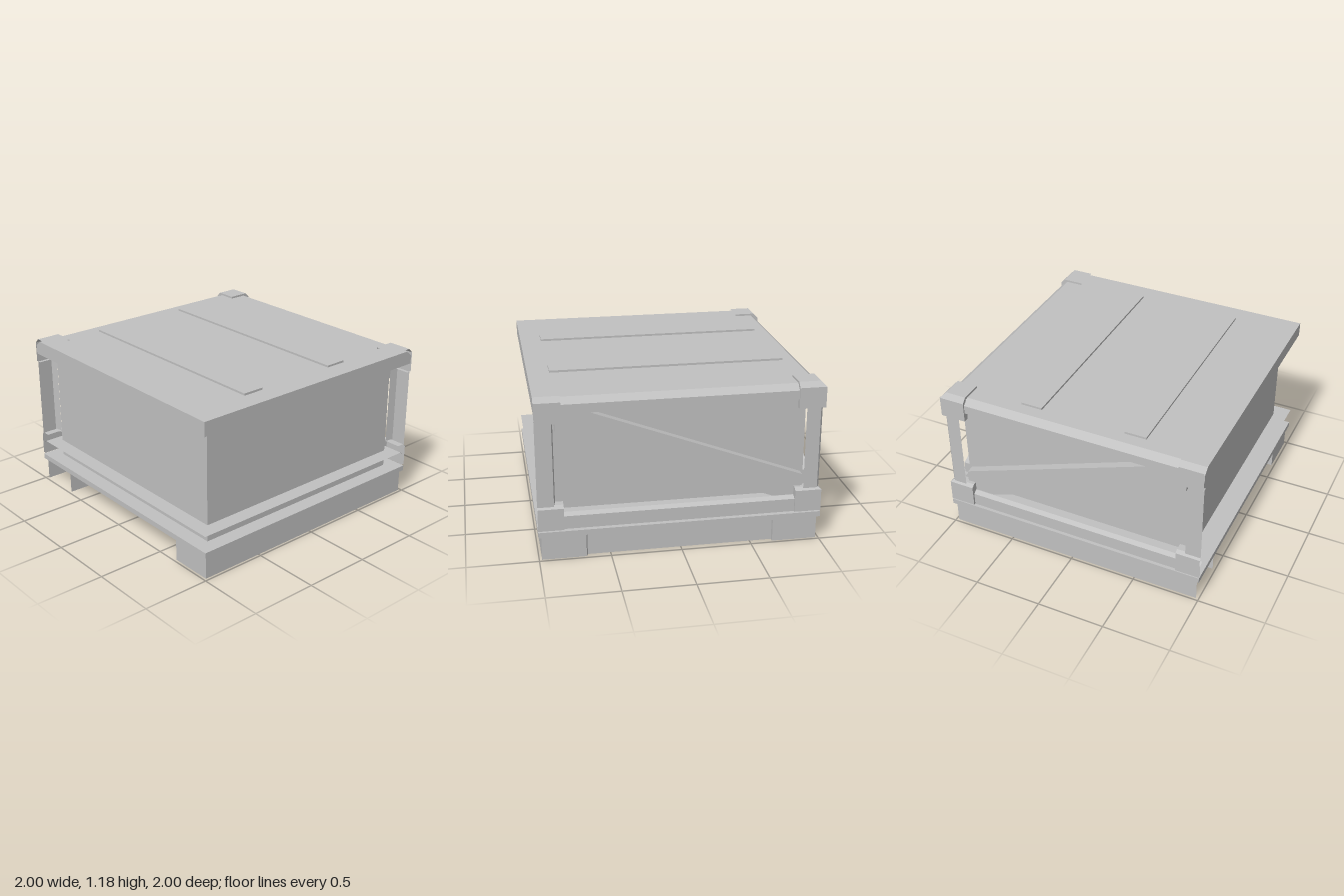
import * as THREE from 'three';

const grey = new THREE.MeshStandardMaterial({ color: 0xc0c0c0, side: THREE.DoubleSide });
grey.name = 'plain grey';

// One mesh from flat convex polygons, each a list of [x, y, z] corners
function panels(name, polygons) {
  const pos = [];
  for (const p of polygons) {
    for (let i = 1; i < p.length - 1; i++) pos.push(...p[0], ...p[i], ...p[i + 1]);
  }
  const geometry = new THREE.BufferGeometry();
  geometry.setAttribute('position', new THREE.Float32BufferAttribute(pos, 3));
  geometry.computeVertexNormals();
  const mesh = new THREE.Mesh(geometry, grey);
  mesh.name = name;
  return mesh;
}

function box(name, x0, x1, y0, y1, z0, z1) {
  const mesh = new THREE.Mesh(new THREE.BoxGeometry(x1 - x0, y1 - y0, z1 - z0), grey);
  mesh.position.set((x0 + x1) / 2, (y0 + y1) / 2, (z0 + z1) / 2);
  mesh.name = name;
  return mesh;
}

// Sweeps an (x, y) section along z; without an end it is mitred at the back corner
function strip(section, zStart, zEnd) {
  const end = ([x]) => (zEnd === undefined ? -x : zEnd);
  return section.slice(1).map((b, i) => {
    const a = section[i];
    return [[...a, zStart], [...b, zStart], [...b, end(b)], [...a, end(a)]];
  });
}

const wallX = (x, y0, y1, z0, z1) => [[x, y0, z0], [x, y0, z1], [x, y1, z1], [x, y1, z0]];
const wallZ = (z, y0, y1, x0, x1) => [[x0, y0, z], [x1, y0, z], [x1, y1, z], [x0, y1, z]];
const flat = (y, x0, x1, z0, z1) => [[x0, y, z1], [x1, y, z1], [x1, y, z0], [x0, y, z0]];

// Beams, posts, corner caps and brace of one framed side, built facing +x
function createFrame(name) {
  const frame = new THREE.Group();
  frame.name = name;

  frame.add(panels('upperBeam', strip([[0.94, 1.17], [0.99, 1.13], [0.99, 1.065], [0.89, 1.065]], 1)));
  frame.add(panels('lowerBeam', strip([[0.955, 0.34], [0.985, 0.32], [0.985, 0.225]], 1)));

  // Corner caps: an open one at the front end, a mitred one at the back
  const upperCap = [[0.81, 1.185], [0.965, 1.185], [1, 1.15], [1, 1.0], [0.96, 1.0]];
  const lowerCap = [[0.92, 0.405], [0.975, 0.405], [1, 0.385], [1, 0.225]];
  for (const [part, cap, y] of [['upperCap', upperCap, 1.165], ['lowerCap', lowerCap, 0.335]]) {
    frame.add(panels(part + 'Front', strip(cap, 1, 0.82)));
    frame.add(panels(part + 'Back', strip(cap, -0.81)));
    // Short end faces that close the caps against the beams
    const low = part === 'upperCap' ? 1.0 : 0.225;
    const high = cap[1][1];
    for (const z of [0.82, -0.81]) {
      frame.add(panels(part + 'End', [
        [[0.96, low, z], [1, low, z], [1, cap[2][1], z], [cap[1][0], high, z], [0.96, high, z]],
        wallZ(z, y, high, cap[0][0], 0.96),
      ]));
    }
  }

  // Thin angle posts
  frame.add(panels('frontPost', [
    wallX(0.985, 0.39, 1.02, 0.885, 1),
    [[0.985, 0.39, 0.885], [0.92, 0.39, 0.873], [0.92, 1.02, 0.873], [0.985, 1.02, 0.885]],
  ]));
  frame.add(panels('backPost', [
    wallX(0.985, 0.39, 1.02, -0.87, -0.97),
    [[0.985, 0.39, -0.97], [0.9775, 0.39, -0.9775], [0.9775, 1.02, -0.9775], [0.985, 1.02, -0.97]],
  ]));

  // Diagonal brace
  const outline = [[0.86, 0.92], [0.86, 1.065], [0.66, 1.065], [-0.87, 0.49], [-0.87, 0.34], [-0.66, 0.34]];
  const at = (x, [z, y]) => [x, y, z];
  frame.add(panels('diagonalBrace', [
    outline.map((p) => at(0.95, p)),
    ...outline.map((p, i) => {
      const q = outline[(i + 1) % outline.length];
      return [at(0.95, p), at(0.95, q), at(0.885, q), at(0.885, p)];
    }),
  ]));
  return frame;
}

export function createModel() {
  const crate = new THREE.Group();
  crate.name = 'crate';

  crate.add(box('body', -0.89, 0.89, 0.21, 1.16, -0.89, 0.89));

  // Lid with plain edges on the two unframed sides
  crate.add(panels('lid', [
    flat(1.17, -1, 0.94, -0.94, 1),
    [[-1, 1.065, 1], [0.99, 1.065, 1], [0.99, 1.13, 1], [0.94, 1.17, 1], [-1, 1.17, 1]],
    [[-1, 1.065, 1], [-1, 1.065, -0.99], [-1, 1.13, -0.99], [-1, 1.17, -0.94], [-1, 1.17, 1]],
  ]));
  for (const x of [-0.445, 0.345]) {
    crate.add(box('lidCleat', x - 0.08, x + 0.08, 1.165, 1.185, -0.85, 0.845));
  }

  // Ledge around the foot of the body, and the base board
  crate.add(panels('ledge', [flat(0.34, -1, 0.955, -0.955, 1)]));
  crate.add(panels('baseBoard', [
    flat(0.215, -1, 1, -1, 1),
    wallX(-1, 0.175, 0.215, -1, 1), wallX(1, 0.175, 0.215, -1, 1),
    wallZ(-1, 0.175, 0.215, -1, 1), wallZ(1, 0.175, 0.215, -1, 1),
  ]));

  // Hollow skids
  const top = 0.21;
  crate.add(panels('frontSkid', [
    wallZ(0.98, 0, top, -0.98, 0.98), wallZ(0.66, 0, top, -0.98, 0.95),
    wallX(-0.98, 0, top, 0.66, 0.98), wallX(0.98, 0, top, 0.67, 0.98),
    [[0.98, 0, 0.67], [0.95, 0, 0.66], [0.95, top, 0.66], [0.98, top, 0.67]],
  ]));
  crate.add(panels('backSkid', [
    wallZ(-0.98, 0, top, -0.98, 0.98), wallZ(-0.66, 0, top, -0.98, 0.98),
    wallX(0.98, 0, top, -0.98, -0.66),
  ]));
  crate.add(panels('sideSkid', [wallX(0.95, 0, top, -0.66, 0.66)]));

  // Framed sides: one at +x, its mirror image at the back
  crate.add(createFrame('leftFrame'));
  const backFrame = createFrame('backFrame');
  backFrame.scale.z = -1;
  backFrame.rotation.y = Math.PI / 2;
  crate.add(backFrame);

  return crate;
}
